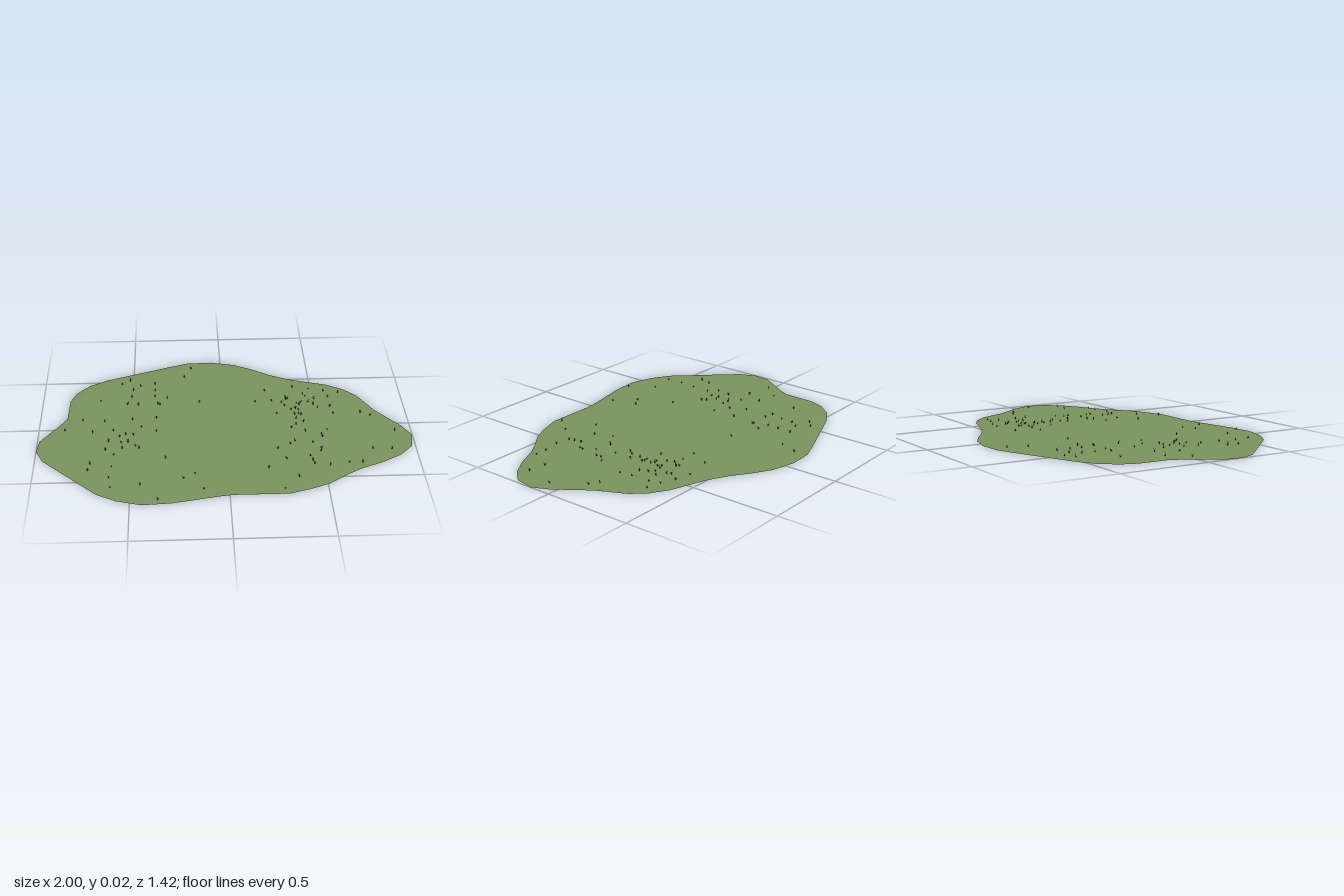
import * as THREE from 'three';
import { mergeGeometries } from 'three/addons/utils/BufferGeometryUtils.js';

// Shoreline of the patch, as x, z pairs
const OUTLINE = [
  1, .12, .98, .23, .91, .31, .8, .38, .69, .43, .6, .49, .51, .56, .42, .6, .3, .64, .17, .64,
  .02, .64, -.05, .65, -.29, .7, -.44, .71, -.57, .67, -.67, .61, -.82, .45, -.96, .3, -1, .21, -.99, .11,
  -.94, .03, -.89, -.05, -.855, -.12, -.85, -.3, -.82, -.385, -.75, -.47, -.65, -.53, -.3, -.67, -.19, -.71,
  -.05, -.715, .085, -.68, .18, -.625, .28, -.555, .385, -.5, .595, -.43, .685, -.375, .755, -.3, .83, -.145, .957, .03,
];

// Tuft positions, as x, z pairs
const TUFTS = [
  -.17, -.64, -.21, -.54, -.52, -.51, -.38, -.47, -.46, -.45, -.5, -.4, -.31, -.31, -.68, -.29, -.53, -.25, -.13, -.26,
  -.35, -.24, -.77, -.09, -.65, -.07, -.5, -.09, -.37, -.1, -.86, .01, -.71, .04, -.6, .02, -.45, -.01, -.37, .04,
  -.52, .14, -.46, .2, -.59, .26, -.32, .3, -.71, .34, -.6, .37, -.72, .4, -.61, .47, -.45, .54, -.36, .67,
  -.23, .49, -.17, .45, -.13, .59, -.6, .56,
  .24, -.37, .4, -.4, .49, -.38, .57, -.35, .65, -.33, .18, -.25, .27, -.25, .35, -.29, .45, -.32, .59, -.29,
  .34, -.2, .43, -.23, .59, -.18, .29, -.12, .41, -.11, .52, -.17, .6, -.11, .75, -.11, .8, -.08, .43, -.03,
  .55, .06, .43, .07, .36, .03, .91, .08, .46, .18, .34, .19, .27, .23, .5, .24, .77, .25, .87, .26,
  .31, .33, .53, .4, .63, .38, .7, .38, .21, .41, .36, .5, .28, .6,
];

// Denser clumps filled by scatter: x, z, spread x, spread z, count
const CLUMPS = [
  [-.44, -.36, .14, .12, 7], [-.5, .08, .16, .14, 8],
  [.42, -.16, .1, .16, 16], [.42, .22, .16, .18, 7],
];

function seeded(seed) {
  return () => (seed = (seed * 16807) % 2147483647) / 2147483647;
}

// Flat sheet whose rim dips slightly to the ground
function patchGeometry() {
  const n = OUTLINE.length / 2, pos = [0, 0.003, 0], index = [];
  for (const [scale, y] of [[0.93, 0.003], [1, 0]]) {
    for (let i = 0; i < n; i++) pos.push(OUTLINE[2 * i] * scale, y, OUTLINE[2 * i + 1] * scale);
  }
  for (let i = 0; i < n; i++) {
    const a = 1 + i, b = 1 + (i + 1) % n;
    index.push(0, b, a, a, b, b + n, a, b + n, a + n);
  }
  const g = new THREE.BufferGeometry();
  g.setAttribute('position', new THREE.Float32BufferAttribute(pos, 3));
  g.setIndex(index);
  g.computeVertexNormals();
  return g;
}

// One tuft: a few thin blades leaning outward
function tuftGeometry(x, z, rand) {
  const pos = [], turn = rand() * Math.PI * 2;
  for (let k = 0; k < 4; k++) {
    const a = turn + k * Math.PI / 2 + rand() * 0.5;
    const c = Math.cos(a), s = Math.sin(a), w = 0.0025;
    const lean = 0.004 + rand() * 0.004, h = 0.014 + rand() * 0.009;
    pos.push(x - s * w, 0.002, z + c * w, x + s * w, 0.002, z - c * w, x + c * lean, h, z + s * lean);
  }
  const g = new THREE.BufferGeometry();
  g.setAttribute('position', new THREE.Float32BufferAttribute(pos, 3));
  g.computeVertexNormals();
  return g;
}

export function createModel() {
  const group = new THREE.Group();
  group.name = 'grassPatch';
  const meadow = new THREE.MeshStandardMaterial({ color: 0x7a935d, side: THREE.DoubleSide });
  meadow.name = 'meadow green';
  const blade = new THREE.MeshStandardMaterial({ color: 0x35452a, side: THREE.DoubleSide });
  blade.name = 'dark blade green';

  const ground = new THREE.Mesh(patchGeometry(), meadow);
  ground.name = 'ground';

  const rand = seeded(41), tufts = [];
  for (let i = 0; i < TUFTS.length; i += 2) tufts.push(tuftGeometry(TUFTS[i], TUFTS[i + 1], rand));
  for (const [x, z, sx, sz, count] of CLUMPS) {
    for (let i = 0; i < count; i++) {
      tufts.push(tuftGeometry(x + (rand() * 2 - 1) * sx, z + (rand() * 2 - 1) * sz, rand));
    }
  }
  const grass = new THREE.Mesh(mergeGeometries(tufts), blade);
  grass.name = 'grassTufts';

  group.add(ground, grass);
  return group;
}
